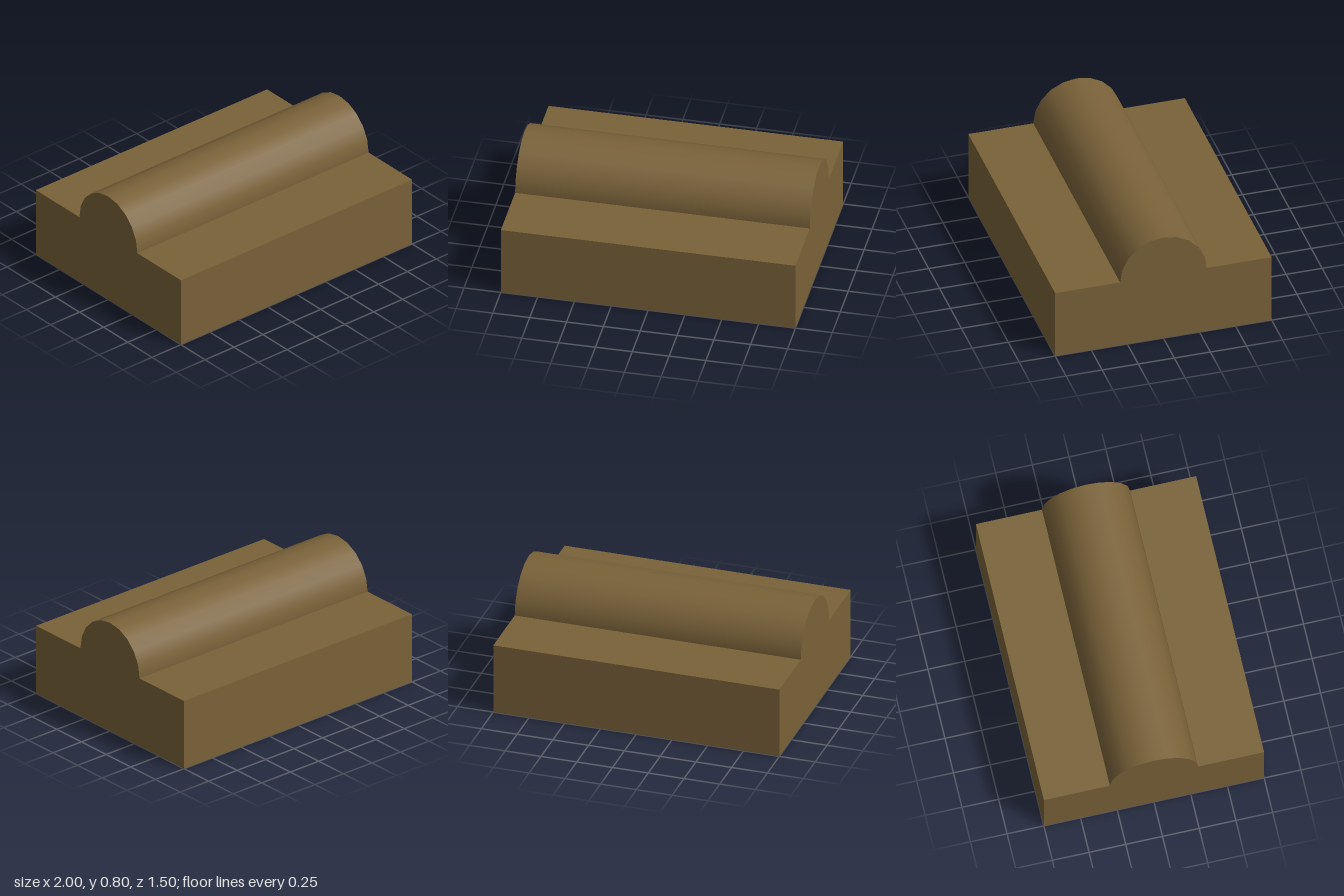
import * as THREE from 'three';

const LENGTH = 2;
const BASE_HEIGHT = 0.5;
const BASE_DEPTH = 1.5;
const RIDGE_RADIUS = 0.3;

export function createModel() {
  const group = new THREE.Group();
  group.name = 'ridgedBlock';
  const material = new THREE.MeshStandardMaterial({ color: 0x7a6239 });

  // Rectangular slab standing on the floor
  const base = new THREE.Mesh(new THREE.BoxGeometry(LENGTH, BASE_HEIGHT, BASE_DEPTH), material);
  base.name = 'base';
  base.position.y = BASE_HEIGHT / 2;
  group.add(base);

  // Half-round ridge running the full length of the slab
  const ridgeGeometry = new THREE.CylinderGeometry(
    RIDGE_RADIUS, RIDGE_RADIUS, LENGTH, 10, 1, false, 0, Math.PI
  );
  ridgeGeometry.rotateZ(Math.PI / 2);
  const ridge = new THREE.Mesh(ridgeGeometry, material);
  ridge.name = 'ridge';
  ridge.position.y = BASE_HEIGHT;
  group.add(ridge);

  return group;
}
